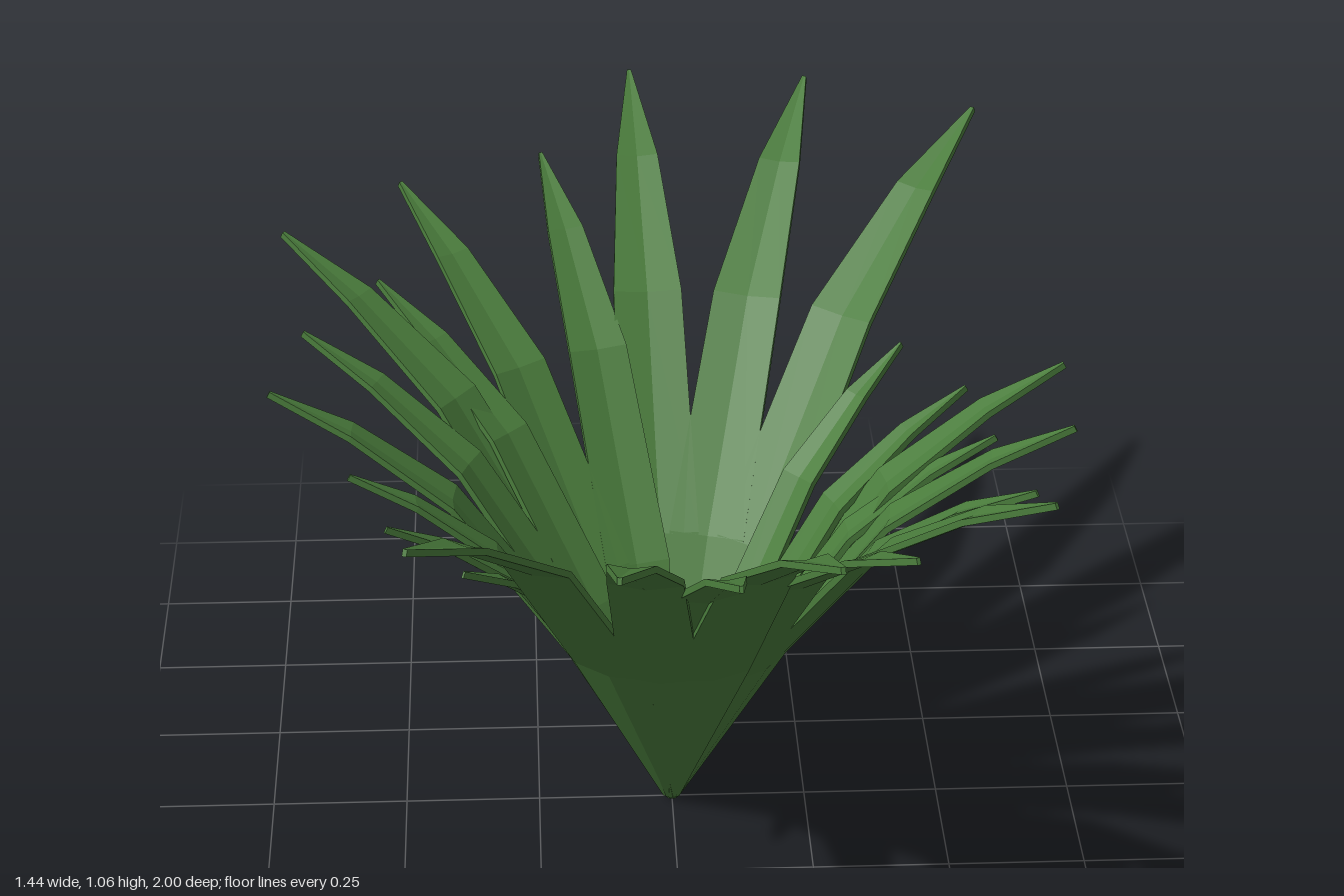
import * as THREE from 'three';

const green = new THREE.MeshStandardMaterial({ color: 0x4a7c3c, flatShading: true });
green.name = 'leaf green';

// leaf stations as fractions of reach / height, with width as a fraction of reach
const STATIONS = [
  { r: 0.012, y: 0.01, w: 0.02 },
  { r: 0.255, y: 0.4, w: 0.145 },
  { r: 0.55, y: 0.745, w: 0.13 },
  { r: 0.8, y: 0.905, w: 0.08 },
  { r: 1.0, y: 0.993, w: 0.008 },
];

// four tiers of leaves: reach, height and the compass angle (degrees from front towards +x)
const TIERS = [
  { reach: 1.0, height: 1.06, angles: [13, -7, -27, 142, 162.5, 182.5] },
  { reach: 0.86, height: 0.96, angles: [45, 25, 5, -124.5, -145, -165] },
  { reach: 0.72, height: 0.86, angles: [97, 77.5, 57.5, -92.5, -112, -132] },
  { reach: 0.585, height: 0.76, angles: [130, 109.5, 90, -39.5, -60, -80] },
];

// a bent, slightly channelled blade lying in the yz plane, swept from six-point sections
function leafGeometry(reach, height) {
  const pts = STATIONS.map((s) => new THREE.Vector2(s.r * reach, s.y * height));
  const pos = [];
  const idx = [];
  const half = 0.006;
  pts.forEach((p, i) => {
    const a = pts[Math.max(i - 1, 0)];
    const b = pts[Math.min(i + 1, pts.length - 1)];
    const t = b.clone().sub(a).normalize();
    const nz = -t.y;
    const ny = t.x;
    const w = (STATIONS[i].w * reach) / 2;
    const fold = w * 0.15;
    const section = [[-w, -half], [0, -half - fold], [w, -half], [w, half], [0, half - fold], [-w, half]];
    for (const [x, h] of section) pos.push(x, p.y + ny * h, p.x + nz * h);
  });
  for (let i = 0; i < pts.length - 1; i++) {
    for (let j = 0; j < 6; j++) {
      const k = (j + 1) % 6;
      const a = i * 6 + j, b = i * 6 + k, c = a + 6, d = b + 6;
      idx.push(a, b, c, b, d, c);
    }
  }
  // end caps
  const e = (pts.length - 1) * 6;
  for (let j = 1; j < 5; j++) {
    idx.push(0, j + 1, j);
    idx.push(e, e + j, e + j + 1);
  }
  const g = new THREE.BufferGeometry();
  g.setAttribute('position', new THREE.Float32BufferAttribute(pos, 3));
  g.setIndex(idx);
  g.computeVertexNormals();
  return g;
}

export function createModel() {
  const model = new THREE.Group();
  model.name = 'plant';

  // leaves
  for (const { reach, height, angles } of TIERS) {
    const geometry = leafGeometry(reach, height);
    for (const deg of angles) {
      const leaf = new THREE.Mesh(geometry, green);
      leaf.name = 'leaf';
      leaf.rotation.y = THREE.MathUtils.degToRad(deg);
      model.add(leaf);
    }
  }

  // flat-topped core in the heart of the rosette
  const core = new THREE.Mesh(new THREE.CylinderGeometry(0.08, 0.012, 0.155, 24), green);
  core.name = 'core';
  core.position.y = 0.0775;
  model.add(core);

  return model;
}
